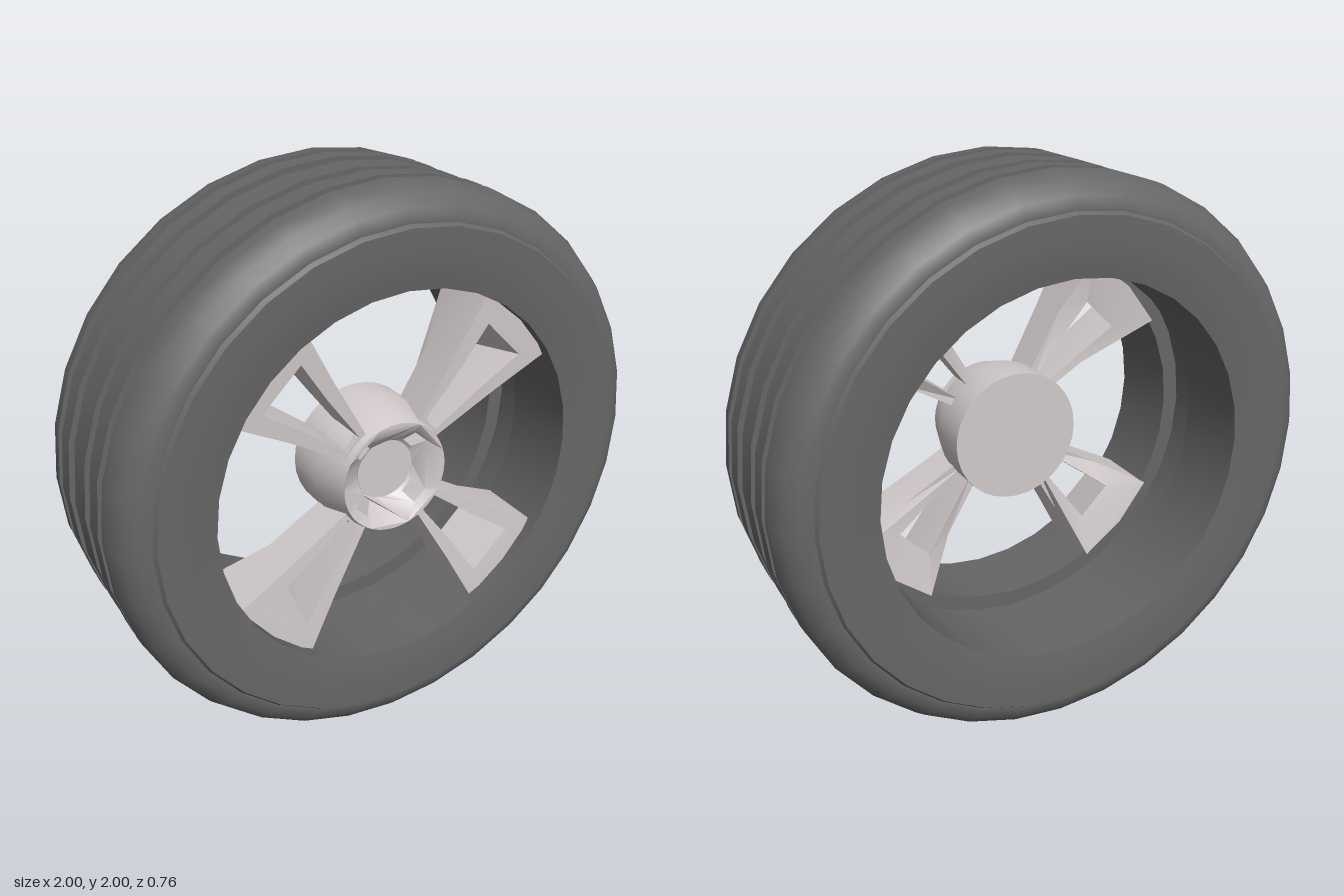
import * as THREE from 'three';
import { toCreasedNormals } from 'three/addons/utils/BufferGeometryUtils.js';

const SEG = 32;
const rubber = new THREE.MeshStandardMaterial({ color: 0x666666 });
const alloy = new THREE.MeshStandardMaterial({ color: 0xd2caca });

function part(name, geometry, material, crease = 0.6) {
  const mesh = new THREE.Mesh(toCreasedNormals(geometry, crease), material);
  mesh.name = name;
  return mesh;
}

// Profile of [radius, z] points turned about the z axis
function turned(points) {
  const g = new THREE.LatheGeometry(points.map(([r, z]) => new THREE.Vector2(r, z)), SEG);
  return g.rotateX(Math.PI / 2);
}

// Extrude a shape, then place every vertex by rule(vertex, isFront)
function warpedExtrude(shape, rule, curveSegments = 8) {
  const g = new THREE.ExtrudeGeometry(shape, { depth: 1, bevelEnabled: false, curveSegments });
  const p = g.attributes.position;
  const v = new THREE.Vector3();
  for (let i = 0; i < p.count; i++) {
    v.fromBufferAttribute(p, i);
    rule(v, v.z > 0.5);
    p.setXYZ(i, v.x, v.y, v.z);
  }
  return g;
}

const poly = (pts) => pts.map(([x, y]) => new THREE.Vector2(x, y));

// Tyre: grooved tread, round shoulders, stepped sidewalls, channel in the bore
function makeTyre() {
  const half = [
    [0.995, 0], [0.998, 0.05], [0.98, 0.05], [0.98, 0.107], [1, 0.107], [1, 0.18],
    [0.98, 0.18], [0.98, 0.22], [1, 0.22], [0.998, 0.265], [0.972, 0.32], [0.935, 0.35],
    [0.9, 0.362], [0.89, 0.362], [0.88, 0.376], [0.8, 0.378], [0.74, 0.374], [0.68, 0.365],
    [0.68, 0.08], [0.74, 0.08],
  ];
  half[0][0] = 0.998;
  const outer = half.slice(1);
  const back = outer.map(([r, z]) => [r, -z]).reverse();
  return part('tyre', turned([...back, half[0], ...outer, back[0]]), rubber);
}

// Hub: tapered drum with a dished face, four pockets and a centre cap
function makeHub() {
  const hub = new THREE.Group();
  hub.name = 'hub';
  hub.add(part('hubDrum', turned([
    [0, 0.03], [0.24, 0.03], [0.24, 0.18], [0.2, 0.31], [0.2, 0.18], [0, 0.18],
  ]), alloy));

  const ring = new THREE.Shape().absarc(0, 0, 0.2, 0, Math.PI * 2);
  ring.holes.push(new THREE.Path().absarc(0, 0, 0.108, 0, Math.PI * 2, true));
  for (let i = 0; i < 4; i++) {
    const a = Math.PI / 4 + i * Math.PI / 2;
    const corners = poly([[0.118, -0.024], [0.165, -0.03], [0.165, 0.03], [0.118, 0.024]]);
    corners.forEach((c) => c.rotateAround(new THREE.Vector2(), a));
    ring.holes.push(new THREE.Path(corners));
  }
  hub.add(part('hubFace', warpedExtrude(ring, (v, front) => {
    const r = Math.hypot(v.x, v.y);
    v.z = front ? 0.24 + 0.07 * (r - 0.108) / 0.092 : 0.18;
  }, SEG), alloy));

  const cap = new THREE.CylinderGeometry(0.108, 0.108, 0.07, SEG).rotateX(Math.PI / 2);
  hub.add(part('centreCap', cap.translate(0, 0, 0.206), alloy));
  return hub;
}

// Spoke along +x: flaring forked frame whose window narrows towards the back
function makeSpokeGeometry() {
  const shape = new THREE.Shape(poly([
    [0.19, -0.05], [0.45, -0.12], [0.665, -0.185], [0.69, 0],
    [0.665, 0.185], [0.45, 0.12], [0.19, 0.05],
  ]));
  shape.holes.push(new THREE.Path(poly([
    [0.215, -0.032], [0.215, 0.032], [0.42, 0.062], [0.595, 0.097],
    [0.595, -0.097], [0.42, -0.062],
  ])));
  return warpedExtrude(shape, (v, front) => {
    const t = THREE.MathUtils.clamp((v.x - 0.2) / 0.47, 0, 1);
    if (front) {
      v.z = 0.285 + 0.035 * t;
      return;
    }
    v.z = 0.14 + 0.1 * t - 0.17 * t * t;
    const inWindow = Math.abs(v.y) < 0.1 && v.x > 0.2 && v.x < 0.6;
    if (inWindow) {
      v.x -= 0.06 * t;
      v.y *= 0.8;
    }
  });
}

export function createModel() {
  const wheel = new THREE.Group();
  wheel.name = 'wheel';
  wheel.add(makeTyre(), makeHub());

  const spokeGeometry = makeSpokeGeometry();
  for (let i = 0; i < 4; i++) {
    const spoke = part('spoke' + (i + 1), spokeGeometry, alloy, 0.4);
    spoke.rotation.z = Math.PI / 4 + i * Math.PI / 2;
    wheel.add(spoke);
  }

  wheel.position.y = 1;
  const model = new THREE.Group();
  model.add(wheel);
  return model;
}
